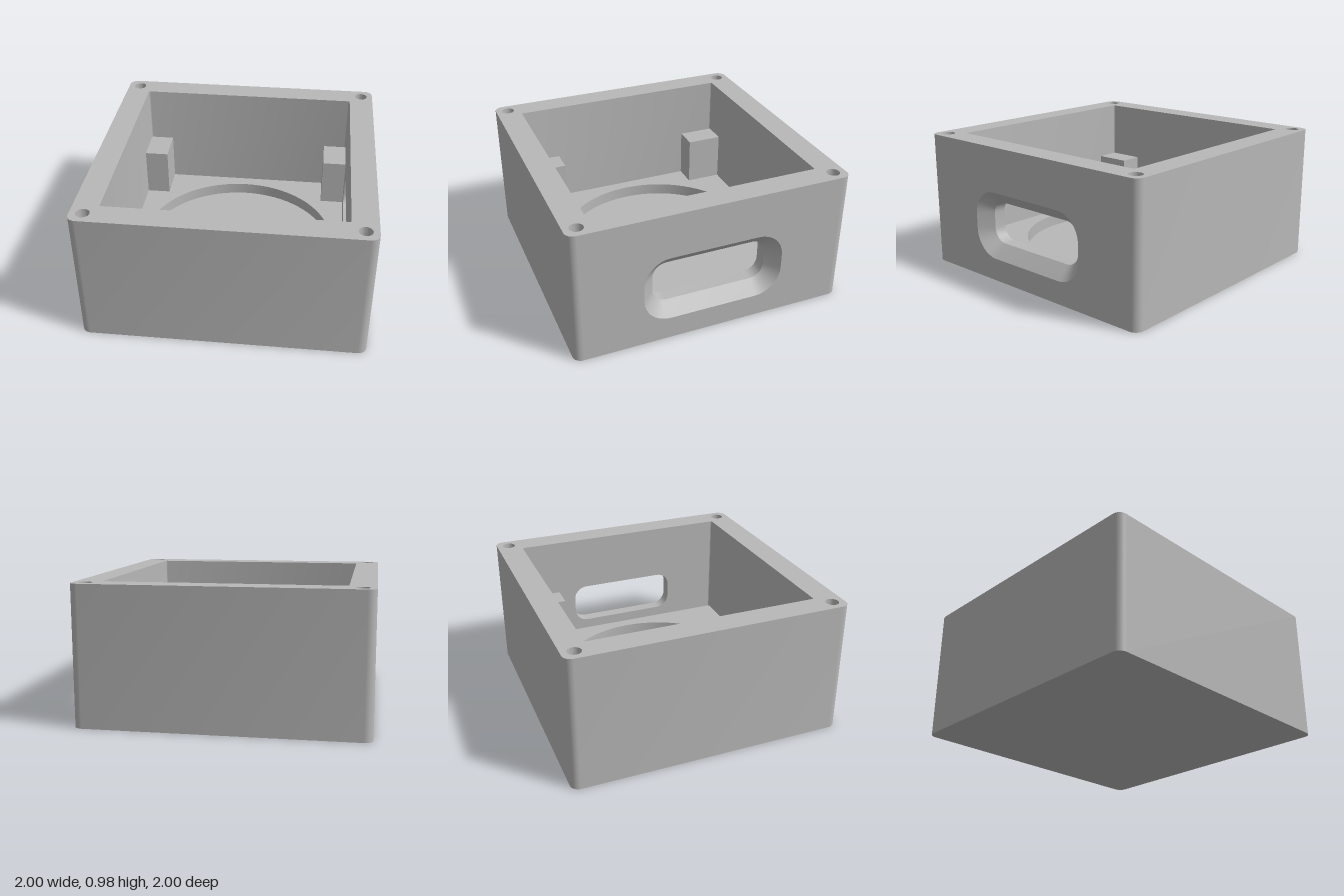
import * as THREE from 'three';
import { toCreasedNormals } from 'three/addons/utils/BufferGeometryUtils.js';

const H = 0.98, FLOOR = 0.18, RECESS = 0.09;   // heights
const OUT = 1, IN = 0.82, R_OUT = 0.06, R_IN = 0.01;
const SLOT_Y = 0.41;

// Counter-clockwise rounded rectangle; the closing segment is its +x side
function roundRect(hw, hh, r, cy = 0, steps = 8) {
  const pts = [];
  for (let k = 0; k < 4; k++) {
    const sx = k === 0 || k === 3 ? 1 : -1, sy = k < 2 ? 1 : -1;
    for (let i = 0; i <= steps; i++) {
      const a = (k + i / steps) * Math.PI / 2;
      pts.push(new THREE.Vector2(sx * (hw - r) + r * Math.cos(a), cy + sy * (hh - r) + r * Math.sin(a)));
    }
  }
  return pts;
}

function circle(r, cx = 0, cy = 0, n = 32) {
  return Array.from({ length: n }, (_, i) => {
    const a = i / n * Math.PI * 2;
    return new THREE.Vector2(cx + r * Math.cos(a), cy + r * Math.sin(a));
  });
}

// Band between two outlines; faces outward when z1 > z0, inward when z1 < z0
function band(a, z0, b, z1, closed = true) {
  const pos = [], n = a.length;
  for (let i = 0; i < (closed ? n : n - 1); i++) {
    const j = (i + 1) % n;
    pos.push(a[i].x, a[i].y, z0, a[j].x, a[j].y, z0, b[j].x, b[j].y, z1,
      a[i].x, a[i].y, z0, b[j].x, b[j].y, z1, b[i].x, b[i].y, z1);
  }
  const g = new THREE.BufferGeometry();
  g.setAttribute('position', new THREE.Float32BufferAttribute(pos, 3));
  return toCreasedNormals(g, 0.5);
}

// Flat face with holes at a given height
function plate(outline, z, holes = []) {
  const s = new THREE.Shape(outline);
  s.holes = holes.map((h) => new THREE.Path(h));
  return new THREE.ShapeGeometry(s).translate(0, 0, z);
}

export function createModel() {
  const model = new THREE.Group();
  model.name = 'enclosure';
  const grey = new THREE.MeshStandardMaterial({ color: 0xb8b8b8 });
  grey.name = 'grey plastic';

  const add = (name, geo) => {
    const m = new THREE.Mesh(geo, grey);
    m.name = name;
    model.add(m);
  };
  const up = (g) => g.rotateX(-Math.PI / 2);    // local z becomes +y
  const side = (g) => g.rotateY(Math.PI / 2);   // local z becomes +x

  // Outer shell and cavity, both open on the +x side for the slotted wall
  const outer = roundRect(OUT, OUT, R_OUT), cavity = roundRect(IN, IN, R_IN, 0, 4);
  add('outerWalls', up(band(outer, 0, outer, H, false)));
  add('cavityWalls', up(band(cavity, H, cavity, FLOOR, false)));
  add('underside', plate(outer, 0).rotateX(Math.PI / 2));

  // Rim with four blind screw holes
  const screws = [[1, 1], [-1, 1], [-1, -1], [1, -1]].map(([x, y]) => circle(0.047, x * 0.91, y * 0.91));
  add('rim', up(plate(outer, H, [cavity, ...screws])));
  for (const c of screws) {
    add('screwHoleWall', up(band(c, H, c, 0.5)));
    add('screwHoleBottom', up(plate(c, 0.5)));
  }

  // Floor with a round recess
  const ring = circle(0.73, 0, 0, 72);
  add('floor', up(plate(cavity, FLOOR, [ring])));
  add('recessWall', up(band(ring, FLOOR, ring, RECESS)));
  add('recessBottom', up(plate(ring, RECESS)));

  // Slotted wall with a chamfered opening
  const mouth = roundRect(0.507, 0.245, 0.19, SLOT_Y), throat = roundRect(0.416, 0.153, 0.1, SLOT_Y);
  const rect = (hw, y0, y1) => [[-hw, y0], [hw, y0], [hw, y1], [-hw, y1]].map((p) => new THREE.Vector2(...p));
  add('slotWallOutside', side(plate(rect(OUT - R_OUT, 0, H), OUT, [mouth])));
  const inside = plate(rect(IN - R_IN, FLOOR, H), -IN, [throat]);
  add('slotWallInside', inside.rotateY(-Math.PI / 2));
  add('slotChamfer', side(band(mouth, OUT, throat, 0.91)));
  add('slotThroat', side(band(throat, 0.91, throat, IN)));

  // Support posts in three cavity corners
  const top = 0.55;
  for (const [x, z] of [[-1, -1], [1, -1], [-1, 1]]) {
    add('supportPost', new THREE.BoxGeometry(0.18, top - FLOOR, 0.272)
      .translate(x * (IN - 0.09), (top + FLOOR) / 2, z * (IN - 0.136)));
  }
  return model;
}
